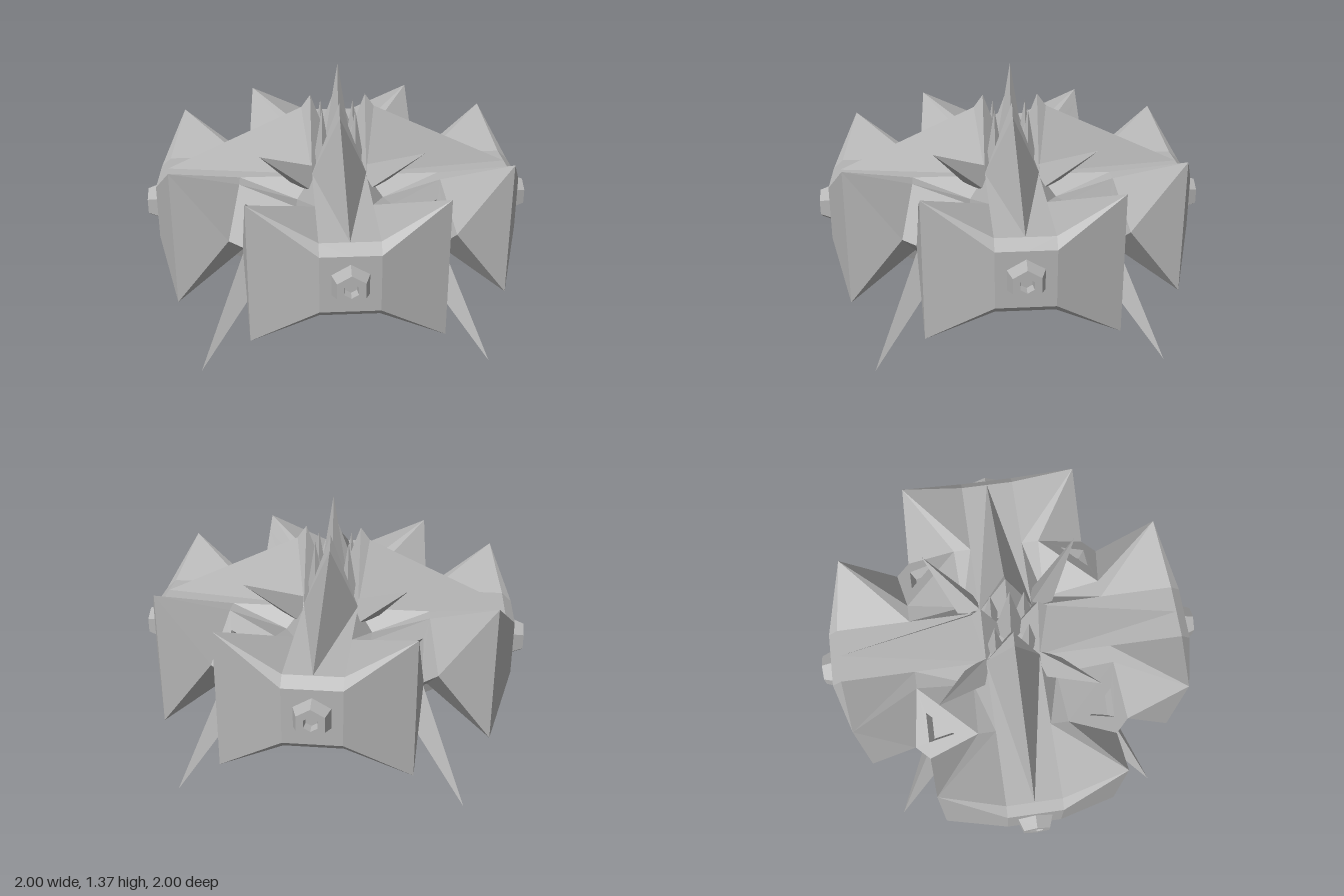
import * as THREE from 'three';

const grey = new THREE.MeshStandardMaterial({ color: 0xb4b4b4, side: THREE.DoubleSide, flatShading: true });
grey.name = 'plain grey';
const MID = 0.63; // height of the horizontal mirror plane

// Repeat a wedge of convex faces: four quarter turns, mirrored left/right, on the chosen halves.
// Points are [x, height above the mid plane, z].
function repeatFaces(name, faces, halves = [1, -1]) {
  const pos = [];
  for (const sy of halves) for (const sx of [1, -1]) for (let q = 0; q < 4; q++) {
    const c = [1, 0, -1, 0][q], s = [0, 1, 0, -1][q];
    const put = ([x, y, z]) => pos.push(sx * x * c + z * s, MID + sy * y, z * c - sx * x * s);
    for (const f of faces) for (let i = 1; i < f.length - 1; i++) {
      const tri = sx * sy > 0 ? [f[0], f[i], f[i + 1]] : [f[0], f[i + 1], f[i]];
      tri.forEach(put);
    }
  }
  const g = new THREE.BufferGeometry();
  g.setAttribute('position', new THREE.Float32BufferAttribute(pos, 3));
  g.computeVertexNormals();
  return mesh(name, g);
}

function mesh(name, geometry) {
  const m = new THREE.Mesh(geometry, grey);
  m.name = name;
  return m;
}

export function createModel() {
  const model = new THREE.Group();
  model.name = 'spikedStation';

  // Shared corner points
  const H = 0.185;
  const tip = [0.46, 0.35, 0.83], tipMid = [0.46, 0, 0.83];
  const faceCorner = [0.14, 0.14, 0.94], rim = [0.14, H, 0.89];
  const notch = [0.14, H, 0.51], S = [0.23, H, 0.51], M = [0.37, H, 0.37];
  const P = [0.49, 0, 0.56], Pm = [0.525, 0, 0.525];

  // Four bow-tie shields with pointed corners
  model.add(repeatFaces('shield', [
    [[0, 0, 0.94], [0.14, 0, 0.94], faceCorner, [0, 0.14, 0.94]],
    [[0.14, 0, 0.94], tipMid, tip, faceCorner],
    [[0, 0.14, 0.94], faceCorner, rim, [0, H, 0.89]],
    [faceCorner, tip, rim],
    [rim, tip, notch],
    [tip, S, notch],
    [tip, P, S],
    [tipMid, P, tip],
  ]));

  // Deck of each arm and the sunken corner between two arms
  const V = [0.22, 0.09, 0.22];
  model.add(repeatFaces('deck', [
    [[0, H, 0.14], [0, H, 0.89], rim, [0.14, H, 0.14]],
    [notch, V, [0.14, H, 0.14]],
    [notch, S, V],
    [S, M, V],
  ]));

  // Sloping corner plates with a triangular recess
  const J = [0.35, 0.131, 0.48], K = [0.485, 0.048, 0.485], L = [0.415, 0.131, 0.415];
  const sink = ([x, y, z]) => [x - 0.027, y - 0.046, z - 0.027];
  model.add(repeatFaces('cornerSocket', [
    [S, P, K, J],
    [P, Pm, K],
    [M, S, J, L],
    [J, K, sink(K), sink(J)],
    [L, J, sink(J), sink(L)],
    [sink(J), sink(K), sink(L)],
  ]));

  // Long horns growing out of the lower sockets
  const horn = [0.71, 0.595, 0.71];
  model.add(repeatFaces('horn', [[J, K, horn], [L, J, horn]], [-1]));

  // Short three-sided spikes on the diagonals
  const spike = [0.4, 0.4, 0.4], base = [0.14, 0.14, 0.24];
  model.add(repeatFaces('diagonalSpike', [
    [base, spike, [0.14, 0.24, 0.14]],
    [base, [0.19, 0.14, 0.19], spike],
  ]));

  // Ridged fins running from the shields to the axis, above and below
  const B = [0, H, 0.89], A = [0, 0.51, 0.187], C = [0.14, 0.195, 0.14];
  const fin = (peak) => [[B, C, A], [A, C, peak], [peak, C, [0, 0.28, 0.03]]];
  model.add(repeatFaces('upperFin', fin([0, 0.575, 0.14]), [1]));
  model.add(repeatFaces('lowerFin', fin([0, 0.51, 0.14]), [-1]));

  // Crown: a tall needle with four small ones around it
  const needle = (name, r, y0, y1, x, z) => {
    const m = mesh(name, new THREE.ConeGeometry(r, y1 - y0, 4));
    m.position.set(x, (y0 + y1) / 2, z);
    model.add(m);
  };
  needle('crownNeedle', 0.08, 0.88, 1.37, 0, 0);
  for (const x of [-0.085, 0.085]) for (const z of [-0.085, 0.085]) {
    needle('crownSpike', 0.05, 0.85, 1.15, x, z);
  }

  // Lower column with chamfered corners
  const a = 0.14, b = 0.09;
  const outline = [[a, b], [b, a], [-b, a], [-a, b], [-a, -b], [-b, -a], [b, -a], [a, -b]];
  const section = new THREE.Shape(outline.map(([x, z]) => new THREE.Vector2(x, z)));
  const column = mesh('lowerColumn', new THREE.ExtrudeGeometry(section, { depth: 0.45, bevelEnabled: false }));
  column.rotation.x = -Math.PI / 2;
  column.position.y = 0.11;
  model.add(column);

  // Bevelled square foot plate
  const foot = new THREE.CylinderGeometry(0.187 * Math.SQRT2, 0.14 * Math.SQRT2, 0.045, 4);
  foot.rotateY(Math.PI / 4);
  const footMesh = mesh('footPlate', foot);
  footMesh.position.y = 0.0925;
  model.add(footMesh);

  // Hexagonal nozzles on each shield and under the foot
  const profile = [[0.1, 0], [0.075, 0.06], [0.037, 0.06], [0.03, 0.02], [0, 0.02]]
    .map(([r, y]) => new THREE.Vector2(r, y));
  const nozzleGeometry = new THREE.LatheGeometry(profile, 6);
  for (let q = 0; q < 4; q++) {
    const turn = new THREE.Group();
    turn.name = 'nozzleMount';
    turn.rotation.y = q * Math.PI / 2;
    const nozzle = mesh('nozzle', nozzleGeometry);
    nozzle.rotation.x = Math.PI / 2;
    nozzle.position.set(0, MID, 0.94);
    turn.add(nozzle);
    model.add(turn);
  }
  const bottomNozzle = mesh('bottomNozzle', nozzleGeometry);
  bottomNozzle.rotation.x = Math.PI;
  bottomNozzle.position.y = 0.06;
  bottomNozzle.position.y += 0.0;
  model.add(bottomNozzle);

  return model;
}
